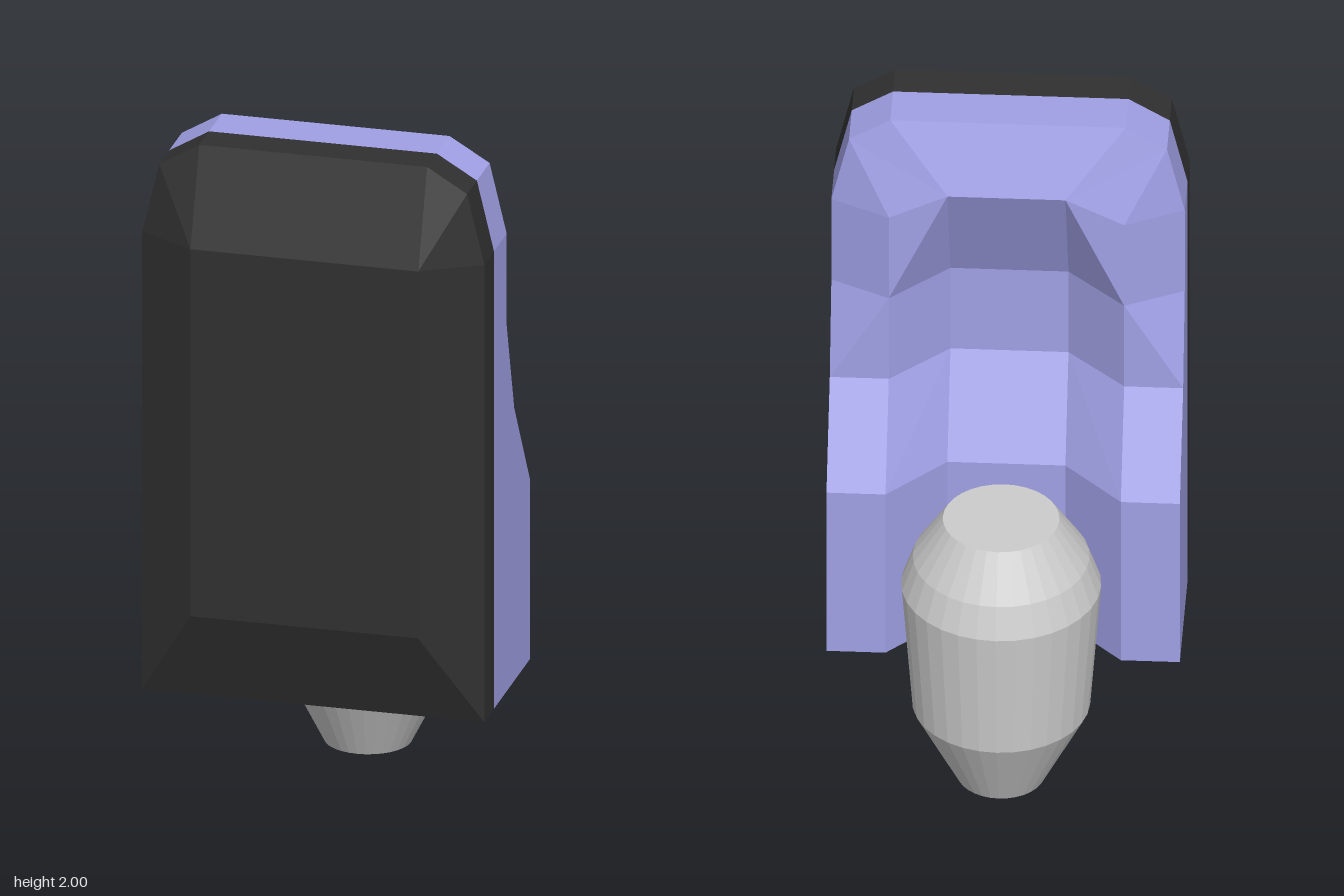
import * as THREE from 'three';
import { ConvexGeometry } from 'three/addons/geometries/ConvexGeometry.js';

const material = (color) => new THREE.MeshStandardMaterial({ color, flatShading: true });

// Half outline shared by the plate and the shell, from bottom to top
const OUTLINE = [[0.5, 0.33], [0.5, 1.72], [0.45, 1.93], [0.333, 2]];

// Dark front plate: extruded outline with a bevelled, raised front
function frontPlate() {
  const points = [];
  for (const s of [-1, 1]) {
    for (const [x, y] of OUTLINE) {
      for (const z of [0.285, 0.392]) points.push(new THREE.Vector3(s * x, y, z));
    }
    for (const y of [0.605, 1.72]) points.push(new THREE.Vector3(s * 0.333, y, 0.49));
  }
  return new ConvexGeometry(points);
}

// Rear shell: half cross-sections (front edge, outer edge, rim, recess), lofted and mirrored
function rearShell() {
  const level = (y, outer, rim, recess) =>
    [[0.5, y, 0.285], [0.5, y, outer], [0.333, y, rim], [0.167, y, recess]];
  const rim = [0.333, 1.72, 0.063], peak = [0.167, 1.8, 0.063];
  const rows = [
    level(0.33, -0.108, -0.108, 0.06),
    level(0.88, -0.108, -0.108, 0.06),
    level(1.16, 0.063, 0.063, 0.22),
    level(1.44, 0.145, 0.063, 0.22),
    ...OUTLINE.slice(1).map(([x, y], i) =>
      [[x, y, 0.285], [x, y, 0.145], i < 2 ? rim : peak, peak]),
  ];

  const positions = [];
  const flip = ([x, y, z]) => [-x, y, z];
  const triangle = (a, b, c) => {
    const [p, q, r] = [a, b, c].map((v) => new THREE.Vector3(...v));
    const area = q.sub(p).cross(r.sub(p)).length();
    if (area > 1e-6) positions.push(...a, ...b, ...c);
  };
  const quad = (a, b, c, d) => { triangle(a, b, c); triangle(a, c, d); };
  const pair = (a, b, c, d) => {
    quad(a, b, c, d);
    quad(flip(a), flip(d), flip(c), flip(b));
  };

  for (let r = 0; r < rows.length - 1; r++) {
    const low = rows[r], high = rows[r + 1];
    for (let i = 0; i < 3; i++) pair(low[i], low[i + 1], high[i + 1], high[i]);
    quad(low[3], flip(low[3]), flip(high[3]), high[3]);
  }

  // Underside
  const [f, o, m, c] = rows[0];
  pair(f, c, m, o);
  quad(f, flip(f), flip(c), c);

  // Flat top and the slope above the recess
  const [tf, to, , tc] = rows[rows.length - 1];
  quad(tf, to, flip(to), flip(tf));
  quad(to, tc, flip(tc), flip(to));

  const geometry = new THREE.BufferGeometry();
  geometry.setAttribute('position', new THREE.Float32BufferAttribute(positions, 3));
  geometry.computeVertexNormals();
  return geometry;
}

// Tapered round body held in the recess
function roundBody() {
  const profile = [[0, 0], [0.125, 0], [0.252, 0.25], [0.283, 0.66], [0.25, 0.755], [0.165, 0.885], [0, 0.885]];
  return new THREE.LatheGeometry(profile.map(([r, y]) => new THREE.Vector2(r, y)), 32);
}

export function createModel() {
  const model = new THREE.Group();
  const add = (name, geometry, color) => {
    const mesh = new THREE.Mesh(geometry, material(color));
    mesh.name = name;
    model.add(mesh);
    return mesh;
  };
  add('frontPlate', frontPlate(), 0x303030);
  add('rearShell', rearShell(), 0xa0a0e6);
  add('roundBody', roundBody(), 0xcccccc).position.z = -0.212;
  return model;
}
